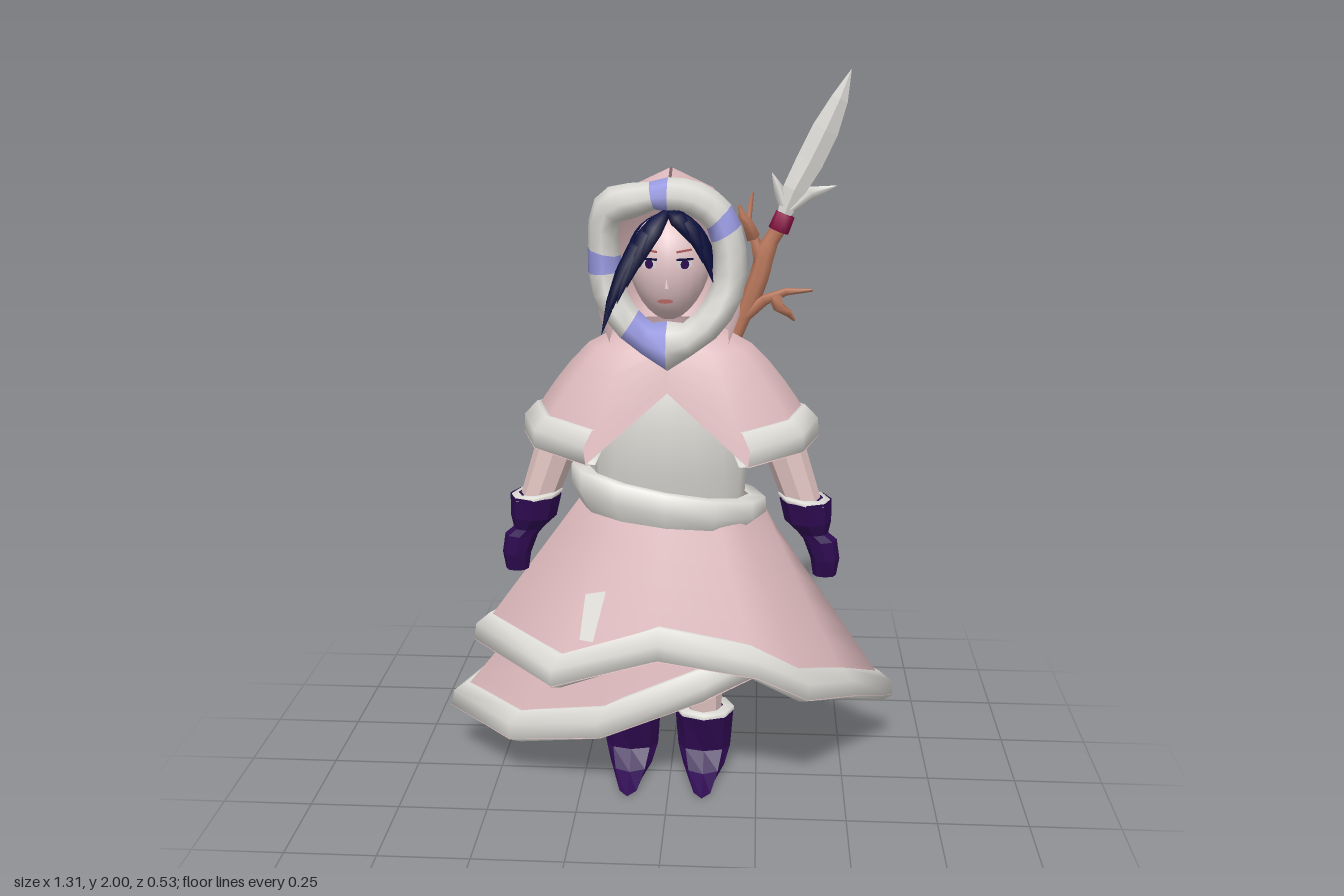
import * as THREE from 'three';

const paint = (name, color) => {
  const m = new THREE.MeshStandardMaterial({ color, side: THREE.DoubleSide });
  m.name = name;
  return m;
};
const V = (x, y, z) => new THREE.Vector3(x, y, z);

export function createModel() {
  const pink = paint('pink cloth', 0xdebabd), pale = paint('pale pink cloth', 0xdfc3c0);
  const fur = paint('white fur', 0xdbd9d4), blue = paint('lavender', 0x9a9be2);
  const purple = paint('purple leather', 0x2f0b52), hair = paint('dark hair', 0x0a0e3e);
  const wood = paint('wood', 0xbd7a5e), red = paint('crimson binding', 0x8e1246);
  const skin = paint('skin', 0xdfc0c2), lip = paint('lip', 0xb2605f);
  const model = new THREE.Group();
  model.name = 'hoodedFigure';

  const add = (name, geometry, material, parent = model) => {
    const mesh = new THREE.Mesh(geometry, material);
    mesh.name = name;
    parent.add(mesh);
    return mesh;
  };

  // Surface through rows of points; pick(row) chooses a material per strip
  function loft(name, rows, mats, { closed = true, flat = false, pick = null } = {}) {
    const n = rows[0].length, m = closed ? n : n - 1, index = [];
    let g = new THREE.BufferGeometry();
    g.setAttribute('position', new THREE.Float32BufferAttribute(rows.flat().flatMap(p => [p.x, p.y, p.z]), 3));
    for (let i = 0; i < rows.length - 1; i++) {
      if (pick) g.addGroup(i * m * 6, m * 6, pick(i) ? 1 : 0);
      for (let j = 0; j < m; j++) {
        const a = i * n + j, b = i * n + (j + 1) % n;
        index.push(a, b, a + n, b, b + n, a + n);
      }
    }
    g.setIndex(index);
    if (flat) g = g.toNonIndexed();
    g.computeVertexNormals();
    return add(name, g, mats);
  }

  // Horizontal elliptical section
  const ring = (x, y, z, rx, rz, n = 8, tilt = 0) => Array.from({ length: n }, (_, i) => {
    const a = i / n * Math.PI * 2, c = Math.cos(a) * rx;
    return V(x + c, y + c * tilt, z + Math.sin(a) * rz);
  });
  const point = (p, n) => Array.from({ length: n }, () => p.clone());
  const points = list => list.map(p => V(...p));

  // Tapered rod along points, closed at both ends
  function sweep(name, pts, radii, mat, { sides = 6, squash = 1, flat = false } = {}) {
    const rows = pts.map((p, i) => {
      const t = pts[Math.min(i + 1, pts.length - 1)].clone().sub(pts[Math.max(i - 1, 0)]).normalize();
      const u = t.clone().cross(V(0, 0, 1)).normalize(), v = t.clone().cross(u);
      return Array.from({ length: sides }, (_, k) => {
        const a = k / sides * Math.PI * 2;
        return p.clone().addScaledVector(u, Math.cos(a) * radii[i]).addScaledVector(v, Math.sin(a) * radii[i] * squash);
      });
    });
    return loft(name, [point(pts[0], sides), ...rows, point(pts.at(-1), sides)], mat, { flat });
  }

  // Cloth hung from an elliptical top edge to a hem, with fur trim over the given column ranges
  function drape(name, hem, top, bulge, trims, blueColumn = -1) {
    const column = (p, t) => {
      const a = Math.atan2(p.z * 1.8, p.x), k = Math.pow(t, bulge);
      return V(THREE.MathUtils.lerp(Math.cos(a) * top.a, p.x, k), THREE.MathUtils.lerp(top.y, p.y, t),
        THREE.MathUtils.lerp(Math.sin(a) * top.b, p.z, k));
    };
    const steps = [0, 0.17, 0.33, 0.5, 0.67, 0.84, 1];
    loft(name, steps.map(t => hem.map(p => column(p, t))), pink, { closed: false });
    const section = [[-0.012, 0.97], [0.022, 0.85], [0.034, 0.4], [0.012, 0], [-0.02, 0.05], [-0.03, 0.5]];
    for (const [from, to] of trims) {
      const rows = hem.slice(from, to + 1).map(p => {
        const up = column(p, 0.8).sub(p).normalize(), out = V(p.x, 0, p.z).normalize();
        out.addScaledVector(up, -out.dot(up)).normalize();
        return section.map(([o, h]) => p.clone().addScaledVector(out, o - 0.013).addScaledVector(up, h * 0.11));
      });
      loft(name + 'FurTrim', rows, [fur, blue], { pick: i => i + from === blueColumn });
    }
    // Patch corners are [position across column c to c + 1, position down]
    return (c, corners) => {
      const q = corners.map(([f, t]) => {
        const p = column(hem[c], t).lerp(column(hem[c + 1], t), f);
        return p.add(V(p.x, 0.08, p.z).normalize().multiplyScalar(0.009));
      });
      loft(name + 'Patch', [[q[0], q[1]], [q[3], q[2]]], fur, { closed: false });
    };
  }

  // Skirts: lopsided underskirt and overskirt, both split at the back
  drape('underskirt', points([[-0.06, 0.5, -0.165], [-0.4, 0.34, -0.235], [-0.655, 0.17, -0.05], [-0.46, 0.135, 0.09],
    [-0.19, 0.19, 0.175], [0.1, 0.31, 0.175], [0.3, 0.4, 0.13]]), { a: 0.16, b: 0.075, y: 0.8 }, 1, [[0, 6]]);
  const skirtPatch = drape('overskirt', points([[0.03, 0.62, -0.19], [0.27, 0.37, -0.24], [0.655, 0.18, -0.17],
    [0.52, 0.265, 0.02], [0.39, 0.34, 0.21], [0.25, 0.41, 0.23], [-0.02, 0.465, 0.255], [-0.31, 0.39, 0.27],
    [-0.565, 0.415, 0.02], [-0.35, 0.475, -0.15], [-0.05, 0.6, -0.215]]), { a: 0.25, b: 0.135, y: 0.85 }, 1, [[0, 10]]);
  skirtPatch(6, [[0.7, 0.48], [0.97, 0.48], [0.84, 0.75], [0.68, 0.78]]);
  skirtPatch(0, [[0.35, 0.3], [0.7, 0.3], [0.85, 0.55], [0.55, 0.6]]);
  skirtPatch(8, [[0.5, 0.55], [0.9, 0.6], [0.85, 0.68], [0.45, 0.75]]);

  // Torso and tilted fur belt
  loft('torso', [ring(0, 0.8, 0, 0.2, 0.1, 16), ring(0, 0.95, 0.01, 0.21, 0.13, 16), ring(0, 1.08, 0.015, 0.2, 0.135, 16),
    ring(0, 1.2, 0.01, 0.16, 0.115, 16), ring(0, 1.32, 0.01, 0.07, 0.07, 16)], fur);
  loft('furBelt', [[0.905, 0.22, 0.12, -0.17], [0.905, 0.268, 0.148, -0.17], [0.855, 0.27, 0.16, -0.14], [0.81, 0.24, 0.14, -0.09]]
    .map(([y, a, b, tilt]) => ring(-0.005, y, 0.015, a, b, 12, tilt)), fur);

  // Shoulder cape, open in a V over the chest, untrimmed point at the back
  const half = points([[0.215, 0.995, 0.19], [0.36, 1.02, 0.12], [0.405, 1.035, 0], [0.355, 1.02, -0.115], [0.27, 1.005, -0.14], [0.17, 0.98, -0.155]]);
  const other = half.map(p => V(-p.x, p.y, p.z)).reverse();
  const capePatch = drape('cape', [V(0, 1.185, 0.155), ...half, V(0, 0.9, -0.16), ...other, V(0, 1.185, 0.155)],
    { a: 0.12, b: 0.1, y: 1.34 }, 0.6, [[1, 6], [8, 13]], 9);
  capePatch(7, [[0.3, 0.5], [0.85, 0.46], [0.7, 0.7], [0.25, 0.72]]);

  // Arms, gloves, legs and boots
  for (const s of [1, -1]) {
    const side = s > 0 ? 'left' : 'right', foot = s > 0 ? 0.097 : -0.115;
    sweep(side + 'Arm', [V(s * 0.24, 1.18, 0.01), V(s * 0.305, 1.02, 0.02), V(s * 0.365, 0.85, 0.03)], [0.05, 0.058, 0.05], pale, { sides: 8, flat: true });
    loft(side + 'GloveCuff', [ring(s * 0.366, 0.872, 0.03, 0.055, 0.055, 8, s * -0.12), ring(s * 0.368, 0.87, 0.03, 0.071, 0.071, 8, s * -0.12),
      ring(s * 0.37, 0.86, 0.03, 0.071, 0.071, 8, s * -0.12)], fur);
    loft(side + 'Glove', [[0.372, 0.863, 0.071, 0.071], [0.38, 0.8, 0.064, 0.06], [0.395, 0.765, 0.042, 0.04],
      [0.415, 0.745, 0.046, 0.042], [0.43, 0.69, 0.04, 0.038], [0.43, 0.64, 0.032, 0.024], [0.43, 0.632, 0.001, 0.001]]
      .map(([x, y, a, b]) => ring(s * x, y, 0.03, a, b)), purple, { flat: true });
    sweep(side + 'Leg', [V(s * 0.085, 0.78, -0.02), V(s * 0.085, 0.5, -0.015), V(foot, 0.18, -0.02)], [0.07, 0.065, 0.05], pale, { sides: 8, flat: true });
    loft(side + 'BootCuff', [ring(foot, 0.207, -0.022, 0.055, 0.05), ring(foot, 0.205, -0.022, 0.086, 0.074),
      ring(foot, 0.192, -0.022, 0.086, 0.074)], fur);
    loft(side + 'Boot', [[0.2, -0.022, 0.085, 0.073], [0.075, -0.03, 0.076, 0.046], [0.03, 0.005, 0.06, 0.065],
      [0.003, 0.055, 0.034, 0.105], [0, 0.04, 0.001, 0.001]].map(([y, z, a, b]) => ring(foot, y, z, a, b)), purple, { flat: true });
  }

  // Pointed hood: width and back edge at each height, sloping down to the face opening
  const hoodRows = [[1.27, 0.14, -0.1], [1.35, 0.16, -0.17], [1.42, 0.185, -0.265], [1.52, 0.19, -0.235],
    [1.62, 0.175, -0.185], [1.7, 0.11, -0.12], [1.75, 0.004, -0.05]].map(([y, w, back]) =>
    [[w, 0.08], [w, -0.02], [w * 0.55, back * 0.62], [0, back], [-w * 0.55, back * 0.62], [-w, -0.02], [-w, 0.08]]
      .map(([x, z]) => V(x, y - Math.max(0, z) * 0.5, z)));
  loft('hood', hoodRows, pink, { closed: false });
  loft('hoodPatch', [points([[-0.005, 1.69, -0.146], [-0.045, 1.69, -0.116]]), points([[-0.01, 1.63, -0.192], [-0.06, 1.63, -0.154]])], fur, { closed: false });

  // Lumpy fur around the face, with lavender bands
  const rim = new THREE.CatmullRomCurve3(points([[0, 1.31, 0.15], [0.1, 1.365, 0.135], [0.152, 1.45, 0.115], [0.158, 1.55, 0.11],
    [0.13, 1.64, 0.11], [0.07, 1.685, 0.115], [0, 1.695, 0.11], [-0.08, 1.685, 0.12], [-0.155, 1.655, 0.12], [-0.165, 1.55, 0.11],
    [-0.155, 1.45, 0.115], [-0.1, 1.365, 0.135]]), true);
  const rimRows = Array.from({ length: 25 }, (_, i) => {
    const k24 = i % 24, p = rim.getPoint(k24 / 24), out = V(p.x, p.y - 1.51, 0).normalize();
    const r = k24 === 0 ? 0.066 : k24 === 13 ? 0.036 : k24 === 15 ? 0.05 : 0.044;
    const depth = k24 === 0 ? 0.088 : k24 > 3 && k24 < 21 ? 0.07 : 0.078;
    return Array.from({ length: 8 }, (_, k) => {
      const a = k / 8 * Math.PI * 2;
      return p.clone().addScaledVector(out, Math.cos(a) * r).add(V(0, 0, Math.sin(a) * depth));
    });
  });
  loft('hoodFur', rimRows, [fur, blue], { pick: i => [7, 12, 18, 22, 23].includes(i) });

  // Head and face
  const head = new THREE.SphereGeometry(1, 20, 14);
  const hp = head.attributes.position;
  for (let i = 0; i < hp.count; i++) {
    const y = hp.getY(i), taper = y < 0 ? 1 + y * 0.2 : 1;
    hp.setXYZ(i, hp.getX(i) * 0.108 * taper, y * 0.14, hp.getZ(i) * 0.1);
  }
  head.computeVertexNormals();
  add('head', head, skin).position.set(0, 1.505, 0.065);
  const nose = add('nose', new THREE.ConeGeometry(0.007, 0.03, 6), skin);
  nose.position.set(0, 1.478, 0.162);
  const mouth = add('mouth', new THREE.CircleGeometry(0.021, 12), lip);
  mouth.scale.y = 0.28;
  mouth.position.set(-0.005, 1.428, 0.154);
  for (const s of [1, -1]) {
    const eye = new THREE.Group();
    eye.name = s > 0 ? 'leftEye' : 'rightEye';
    eye.position.set(s * 0.045, 1.525, 0.159);
    eye.rotation.y = s * 0.42;
    model.add(eye);
    add('eyeWhite', new THREE.CircleGeometry(0.021, 12), fur, eye).scale.y = 0.6;
    const iris = add('iris', new THREE.CircleGeometry(0.012, 12), purple, eye);
    iris.position.z = 0.002;
    add('lashes', new THREE.BoxGeometry(0.044, 0.005, 0.004), hair, eye).position.set(0, 0.013, 0.002);
    const brow = add('brow', new THREE.BoxGeometry(0.04, 0.005, 0.004), lip, eye);
    brow.position.set(0, 0.034, -0.003);
    brow.rotation.z = s * 0.12;
  }

  // Hair: cap under the hood and pointed fringe locks
  const cap = add('hairCap', new THREE.SphereGeometry(1, 18, 8, 0, Math.PI * 2, 0, Math.PI * 0.5), hair);
  cap.scale.set(0.118, 0.14, 0.108);
  cap.position.set(0, 1.508, 0.055);
  cap.rotation.x = -0.5;
  [[-0.11, 1.57, 0.185, -0.165, 1.35, 0.205, 0.022], [-0.105, 1.56, 0.185, -0.15, 1.4, 0.205, 0.022],
    [-0.09, 1.57, 0.18, -0.125, 1.43, 0.2, 0.022], [-0.075, 1.59, 0.18, -0.1, 1.47, 0.19, 0.026],
    [-0.05, 1.61, 0.18, -0.068, 1.52, 0.18, 0.024],
    [0.085, 1.635, 0.165, 0.118, 1.48, 0.165, 0.022], [0.07, 1.64, 0.17, 0.092, 1.53, 0.17, 0.022],
    [0.035, 1.65, 0.17, 0.06, 1.58, 0.168, 0.022]].forEach(([mx, my, mz, ex, ey, ez, w]) => {
    const c = new THREE.QuadraticBezierCurve3(V(0, 1.655, 0.14), V(mx, my, mz), V(ex, ey, ez));
    sweep('fringeLock', c.getPoints(5), [0.4, 0.8, 1, 0.85, 0.55, 0.03].map(k => k * w), hair, { sides: 4, squash: 0.5 });
  });

  // Gnarled staff slung across the back, with twigs and binding
  const path = new THREE.CatmullRomCurve3(points([[0.295, 1.59, -0.145], [0.255, 1.52, -0.15], [0.235, 1.44, -0.15], [0.18, 1.3, -0.155],
    [0.06, 1.02, -0.165], [-0.15, 0.6, -0.165], [-0.32, 0.2, -0.125]]));
  sweep('staff', path.getPoints(18), Array.from({ length: 19 }, (_, i) => i < 3 ? 0.022 : i < 8 ? 0.028 : 0.023), wood, { sides: 7 });
  [[[0.19, 1.33, -0.15], [0.25, 1.38, -0.14], [0.31, 1.405, -0.13], [0.38, 1.415, -0.1]],
    [[0.24, 1.46, -0.15], [0.225, 1.53, -0.15], [0.2, 1.59, -0.16], [0.213, 1.67, -0.165]],
    [[0.215, 1.55, -0.155], [0.2, 1.59, -0.14], [0.185, 1.61, -0.13], [0.178, 1.64, -0.125]],
    [[0.28, 1.395, -0.135], [0.29, 1.36, -0.14], [0.32, 1.34, -0.15], [0.335, 1.32, -0.155]]]
    .forEach(p => sweep('twig', points(p), [0.021, 0.016, 0.011, 0.004], wood, { sides: 5 }));
  sweep('binding', points([[0.285, 1.57, -0.145], [0.303, 1.615, -0.145]]), [0.029, 0.027], red, { sides: 8 });

  // Feather blade with two barbs
  sweep('featherBlade', points([[0.298, 1.61, -0.145], [0.325, 1.68, -0.145], [0.365, 1.755, -0.148], [0.405, 1.84, -0.148],
    [0.44, 1.92, -0.146], [0.468, 1.995, -0.145]]), [0.018, 0.031, 0.037, 0.036, 0.023, 0.001], fur, { sides: 4, squash: 0.45, flat: true });
  sweep('leftBarb', points([[0.305, 1.61, -0.145], [0.29, 1.67, -0.148], [0.265, 1.725, -0.15]]), [0.012, 0.018, 0.001], fur, { sides: 4, squash: 0.5 });
  sweep('rightBarb', points([[0.305, 1.62, -0.145], [0.37, 1.672, -0.15], [0.44, 1.69, -0.16]]), [0.012, 0.018, 0.001], fur, { sides: 4, squash: 0.5 });
  return model;
}
